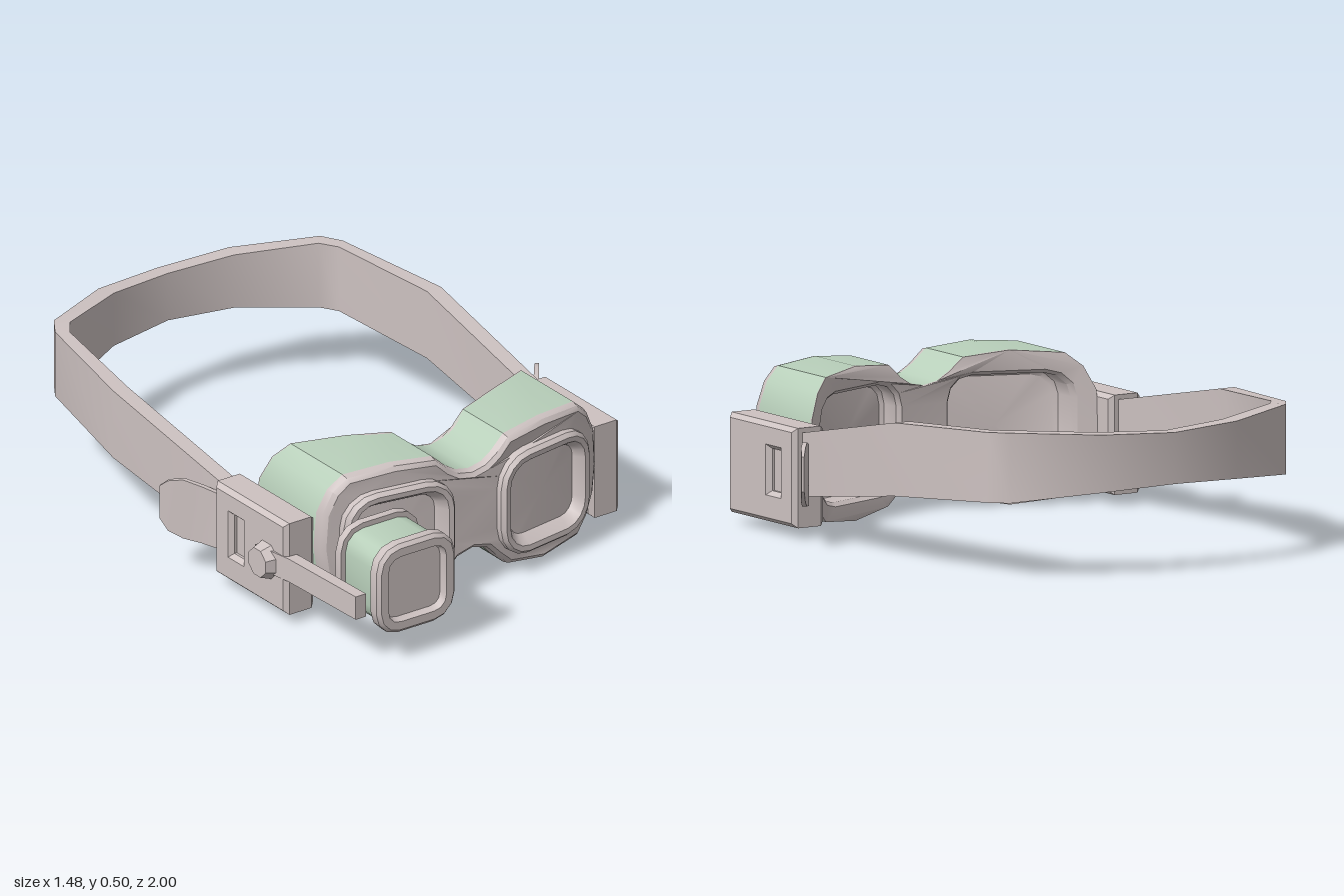
import * as THREE from 'three';
import { toCreasedNormals } from 'three/addons/utils/BufferGeometryUtils.js';

const V2 = (x, y) => new THREE.Vector2(x, y);

// front and back surfaces of the curved goggle body
const zFront = (x) => 0.70 - 0.28 * x * x;
const zBack = (x) => 0.46 - 0.62 * x * x;

// counter-clockwise rounded rectangle
function roundRect(cx, cy, hw, hh, r, n) {
  const pts = [];
  [[1, -1], [1, 1], [-1, 1], [-1, -1]].forEach(([sx, sy], q) => {
    for (let i = 0; i <= n; i++) {
      const a = (q - 1 + i / n) * Math.PI / 2;
      pts.push(V2(cx + sx * (hw - r) + r * Math.cos(a), cy + sy * (hh - r) + r * Math.sin(a)));
    }
  });
  return pts;
}

// shrink a counter-clockwise outline by d
function inset(pts, d) {
  const n = pts.length;
  return pts.map((p, i) => {
    const t = pts[(i + 1) % n].clone().sub(pts[(i + n - 1) % n]).normalize();
    return V2(p.x - t.y * d, p.y + t.x * d);
  });
}

// skin through closed loops of 3D points, with optional end caps
function loft(loops, capStart, capEnd, bulge = 0) {
  const n = loops[0].length, pos = [], idx = [];
  loops.forEach((l) => l.forEach((p) => pos.push(...p)));
  for (let k = 0; k < loops.length - 1; k++) {
    for (let j = 0; j < n; j++) {
      const a = k * n + j, b = k * n + (j + 1) % n;
      idx.push(a, b, b + n, a, b + n, a + n);
    }
  }
  const cap = (k, flip) => {
    const c = pos.length / 3, m = [0, 0, 0];
    loops[k].forEach((p) => p.forEach((v, i) => { m[i] += v / n; }));
    pos.push(m[0], m[1], m[2] + bulge);
    for (let j = 0; j < n; j++) {
      const a = k * n + j, b = k * n + (j + 1) % n;
      idx.push(c, flip ? b : a, flip ? a : b);
    }
  };
  if (capStart) cap(0, true);
  if (capEnd) cap(loops.length - 1, false);
  const g = new THREE.BufferGeometry();
  g.setAttribute('position', new THREE.Float32BufferAttribute(pos, 3));
  g.setIndex(idx);
  return toCreasedNormals(g, 0.6);
}

// loops of an outline following [inset, z offset] steps over a base surface
const steps = (pts, list, base) => list.map(([d, z]) =>
  inset(pts, d).map((p) => [p.x, p.y, base(p.x) + z]));

// flat band through sections [outer x, outer z, inner x, inner z, low y, high y]
const band = (sections) => loft(sections.map(([xo, zo, xi, zi, y0, y1]) =>
  [[xo, y0, zo], [xi, y0, zi], [xi, y1, zi], [xo, y1, zo]]), true, true);

function mirrorX(geo) {
  const g = geo.index ? geo.toNonIndexed() : geo.clone();
  const p = g.attributes.position;
  for (let i = 0; i < p.count; i += 3) {
    const t = [0, 1, 2].map((k) => [-p.getX(i + k), p.getY(i + k), p.getZ(i + k)]);
    p.setXYZ(i, ...t[0]);
    p.setXYZ(i + 1, ...t[2]);
    p.setXYZ(i + 2, ...t[1]);
  }
  return toCreasedNormals(g, 0.6);
}

// bent plate with two eye openings
function facePlate(outline, holes, depth, base) {
  const s = new THREE.Shape(outline);
  s.holes = holes.map((h) => new THREE.Path(h));
  const g = new THREE.ExtrudeGeometry(s, { depth, bevelEnabled: false });
  const p = g.attributes.position;
  for (let i = 0; i < p.count; i++) p.setZ(i, p.getZ(i) + base(p.getX(i)));
  return toCreasedNormals(g, 0.6);
}

export function createModel() {
  const grey = new THREE.MeshStandardMaterial({ color: 0xcdc2c1 });
  grey.name = 'warm grey';
  const green = new THREE.MeshStandardMaterial({ color: 0xb8cfba });
  green.name = 'pale green';
  const root = new THREE.Group();
  root.name = 'goggles';
  const add = (name, geo, mat = grey) => {
    const m = new THREE.Mesh(geo, mat);
    m.name = name;
    root.add(m);
  };
  const addPair = (name, geo) => {
    add(name + 'Left', geo);
    add(name + 'Right', mirrorX(geo));
  };

  // two-lobed body outline, from the bottom centre up the left side
  const half = [[0, 0.13], [0.055, 0.115], [0.09, 0.078], [0.143, 0.032], [0.29, 0.005], [0.45, 0.025],
    [0.50, 0.08], [0.53, 0.15], [0.543, 0.25], [0.535, 0.37], [0.50, 0.445], [0.45, 0.488],
    [0.29, 0.50], [0.14, 0.485], [0.09, 0.44], [0.05, 0.415], [0, 0.405]];
  const outline = [...half, ...half.slice(1, -1).reverse().map(([x, y]) => [-x, y])].map(([x, y]) => V2(x, y));

  // green shell with a chamfered front edge
  const wall = [outline.map((p) => [p.x, p.y, zBack(p.x)]), outline.map((p) => [p.x, p.y, zFront(p.x) - 0.035])];
  add('bodyShell', loft(wall), green);
  add('frontChamfer', loft(steps(outline, [[0, -0.035], [0.006, -0.012], [0.02, 0]], zFront)));

  // front and back faces with eye openings
  const eyes = [-1, 1].map((s) => roundRect(s * 0.285, 0.25, 0.195, 0.18, 0.11, 4));
  const sockets = [-1, 1].map((s) => roundRect(s * 0.285, 0.25, 0.2, 0.185, 0.09, 3));
  add('frontFace', facePlate(inset(outline, 0.02), eyes.map((e) => inset(e, 0.008)), 0.01, (x) => zFront(x) - 0.01));
  add('backFace', facePlate(outline, sockets, 0.012, (x) => zBack(x) - 0.004));

  // raised lens rims and lenses in front, recessed sockets behind
  eyes.forEach((e, i) => {
    const side = i ? 'Left' : 'Right';
    add('lens' + side, loft(steps(e, [[0, -0.01], [0, 0.022], [0.012, 0.036], [0.03, 0.034],
      [0.05, 0.005], [0.056, -0.008]], zFront), false, true, 0.004));
    add('eyeSocket' + side, loft(steps(sockets[i], [[0.028, 0.09], [0.014, 0.08], [0.012, 0.012],
      [0, -0.004]], zBack), true, false));
  });

  // side housings with a slot
  const plate = new THREE.Shape([V2(-0.585, 0.04), V2(-0.2, 0.04), V2(-0.2, 0.36), V2(-0.585, 0.36)]);
  plate.holes.push(new THREE.Path([V2(-0.35, 0.14), V2(-0.35, 0.275), V2(-0.29, 0.275), V2(-0.29, 0.14)]));
  const housing = new THREE.ExtrudeGeometry(plate, {
    depth: 0.086, bevelThickness: 0.016, bevelSize: 0.014, bevelOffset: -0.014, bevelSegments: 1,
  });
  housing.rotateY(Math.PI / 2).translate(0.553, 0, 0);
  addPair('sideHousing', toCreasedNormals(housing, 0.4));
  const slot = new THREE.BoxGeometry(0.07, 0.17, 0.1).translate(0.595, 0.2075, 0.32);
  addPair('slotFloor', slot);

  // head strap running around the back
  const strap = [[0.617, 0.3, 0.562, 0.3, 0.125, 0.33], [0.622, 0.2, 0.567, 0.2, 0.14, 0.345],
    [0.64, -0.36, 0.585, -0.36, 0.22, 0.455], [0.562, -0.78, 0.525, -0.75, 0.25, 0.475],
    [0.52, -0.845, 0.485, -0.805, 0.253, 0.478], [0.255, -0.97, 0.235, -0.915, 0.28, 0.465],
    [0, -1, 0, -0.947, 0.29, 0.455]];
  add('headStrap', band([...strap, ...strap.slice(0, -1).reverse()
    .map(([a, b, c, d, e, f]) => [-a, b, -c, d, e, f])]));

  // flared strap tabs
  addPair('strapTab', band([[0.615, 0.22, 0.6, 0.22, 0.11, 0.3], [0.658, 0.14, 0.643, 0.132, 0.122, 0.32],
    [0.695, 0.09, 0.682, 0.082, 0.13, 0.335], [0.725, 0.05, 0.714, 0.042, 0.15, 0.325],
    [0.74, 0.025, 0.733, 0.02, 0.19, 0.302]]));

  // hinge knob and arm on the right
  const knob = new THREE.CylinderGeometry(0.05, 0.068, 0.05, 8).rotateX(0).rotateY(Math.PI / 8)
    .rotateZ(Math.PI / 2).translate(-0.668, 0.2, 0.485);
  add('hingeKnob', toCreasedNormals(knob, 0.4));
  add('eyepieceArm', mirrorX(band([[0.642, 0.945, 0.602, 0.945, 0.165, 0.245],
    [0.652, 0.6, 0.61, 0.6, 0.165, 0.245], [0.675, 0.45, 0.63, 0.45, 0.165, 0.245]])));

  // swing-out eyepiece: green barrel between two rims
  const rim = roundRect(-0.44, 0.255, 0.153, 0.154, 0.085, 3);
  const flat = () => 0;
  add('eyepieceBarrel', loft(steps(rim, [[0.018, 0.79], [0.018, 0.965]], flat)), green);
  add('eyepieceRearRim', loft(steps(rim, [[0.052, 0.785], [0.042, 0.76], [0.012, 0.76], [0, 0.77],
    [0, 0.798], [0.02, 0.798]], flat), true, false));
  add('eyepieceFrontRim', loft(steps(rim, [[0.02, 0.957], [0, 0.957], [0, 0.988], [0.012, 1],
    [0.04, 1], [0.048, 0.975]], flat), false, true));
  return root;
}
